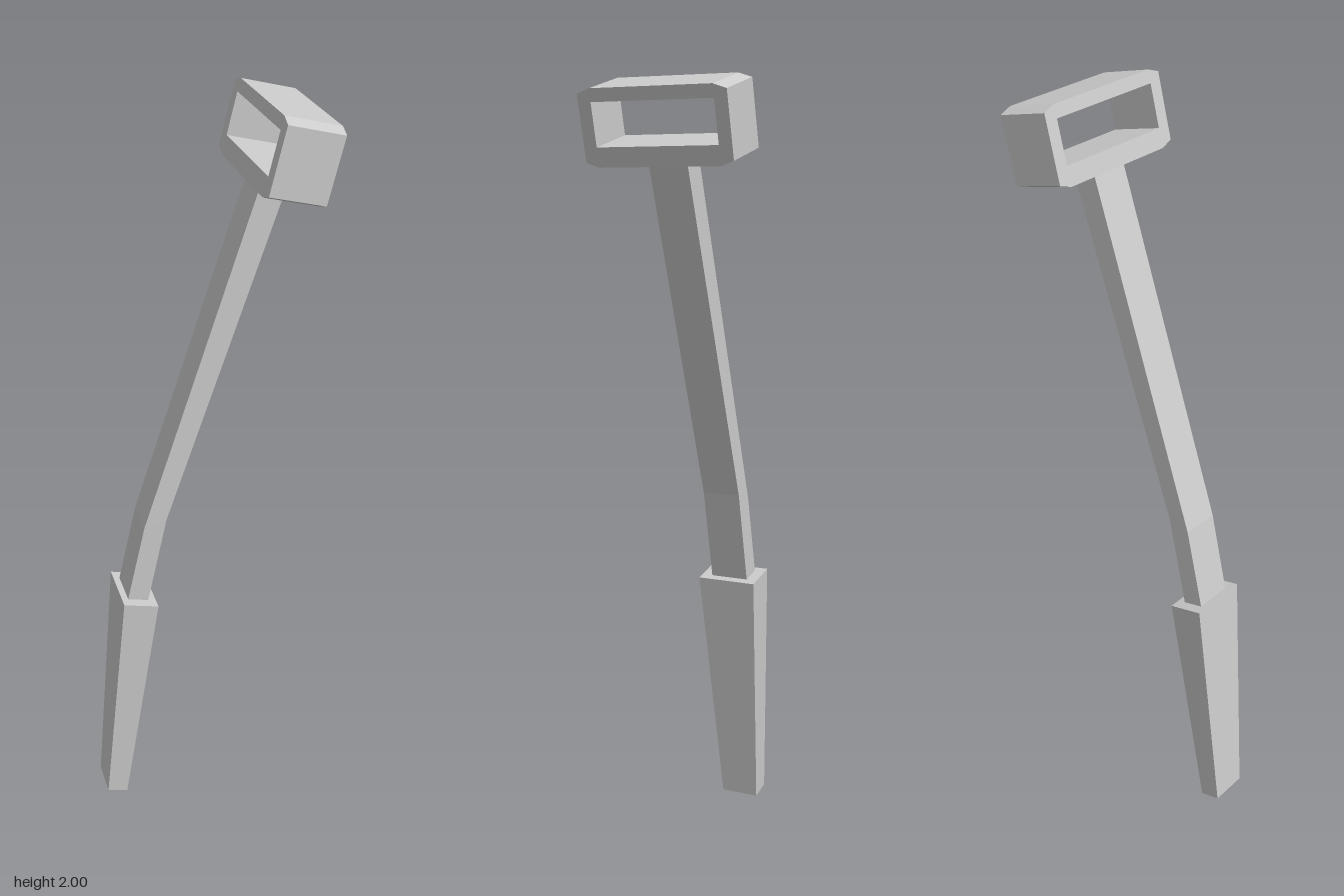
import * as THREE from 'three';

const material = new THREE.MeshStandardMaterial({ color: 0xcccccc, flatShading: true });

// Solid through four-sided sections, listed bottom to top:
// [left x, left y, right x, right y, half depth in z]
function loft(name, sections) {
  const rings = sections.map(([lx, ly, rx, ry, d]) => [
    [lx, ly, d], [rx, ry, d], [rx, ry, -d], [lx, ly, -d],
  ]);
  const positions = [];
  const quad = (a, b, c, d) => positions.push(...a, ...b, ...c, ...a, ...c, ...d);
  for (let i = 0; i < rings.length - 1; i++) {
    for (let k = 0; k < 4; k++) {
      const n = (k + 1) % 4;
      quad(rings[i][k], rings[i][n], rings[i + 1][n], rings[i + 1][k]);
    }
  }
  const bottom = rings[0];
  quad(bottom[3], bottom[2], bottom[1], bottom[0]);
  quad(...rings[rings.length - 1]);

  const geometry = new THREE.BufferGeometry();
  geometry.setAttribute('position', new THREE.Float32BufferAttribute(positions, 3));
  geometry.computeVertexNormals();
  const mesh = new THREE.Mesh(geometry, material);
  mesh.name = name;
  return mesh;
}

// Rectangular loop with chamfered corners and a rectangular opening
function createHead() {
  const w = 0.2, h = 0.0955, cw = 0.035, ch = 0.012, depth = 0.145;
  const points = (list) => list.map(([x, y]) => new THREE.Vector2(x, y));
  const shape = new THREE.Shape(points([
    [-w + cw, -h], [w - cw, -h], [w, -h + ch], [w, h - ch],
    [w - cw, h], [-w + cw, h], [-w, h - ch], [-w, -h + ch],
  ]));
  shape.holes.push(new THREE.Path(points([
    [-0.165, -0.046], [-0.165, 0.0625], [0.165, 0.0625], [0.165, -0.046],
  ])));
  const geometry = new THREE.ExtrudeGeometry(shape, { depth, bevelEnabled: false });
  geometry.translate(0, 0, -depth / 2);
  geometry.rotateY(Math.PI / 2);
  const head = new THREE.Mesh(geometry, material);
  head.name = 'headLoop';
  head.position.set(0.197, 1.89, 0);
  head.rotation.z = THREE.MathUtils.degToRad(-14);
  return head;
}

export function createModel() {
  const model = new THREE.Group();
  model.name = 'bentLever';

  // Tapered grip, wider at the top
  model.add(loft('grip', [
    [-0.291, 0.014, -0.235, 0.0, 0.053],
    [-0.232, 0.685, -0.138, 0.663, 0.083],
  ]));

  // Square shaft with one bend, its ends sunk into the grip and head
  model.add(loft('shaft', [
    [-0.217, 0.67, -0.162, 0.655, 0.053],
    [-0.165, 0.9, -0.105, 0.915, 0.053],
    [0.141, 1.824, 0.204, 1.806, 0.053],
  ]));

  model.add(createHead());
  return model;
}
